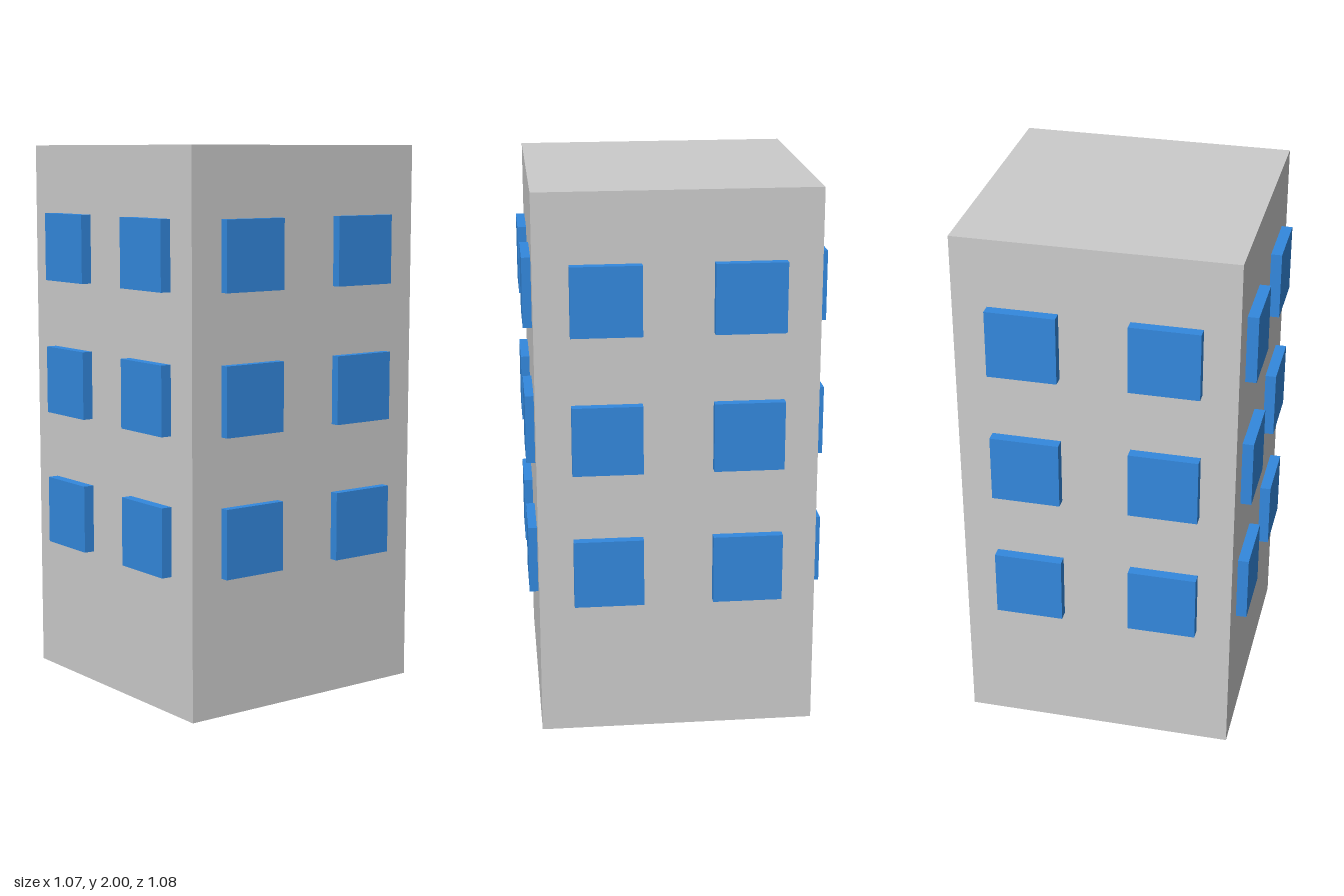
import * as THREE from 'three';

const WIDTH = 1, HEIGHT = 2, PANE = 0.25;
const COLUMNS = [-0.25, 0.25];
const ROWS = [0.625, 1.125, 1.625];

const wallMaterial = new THREE.MeshStandardMaterial({ color: 0xcccccc, side: THREE.DoubleSide, flatShading: true });
const windowMaterial = new THREE.MeshStandardMaterial({ color: 0x3388dd, side: THREE.DoubleSide, flatShading: true });

function rectangle(path, x, y, w, h) {
  path.moveTo(x - w / 2, y - h / 2);
  path.lineTo(x + w / 2, y - h / 2);
  path.lineTo(x + w / 2, y + h / 2);
  path.lineTo(x - w / 2, y + h / 2);
  path.closePath();
  return path;
}

// Thin wall with an opening behind every window
function wallGeometry() {
  const shape = rectangle(new THREE.Shape(), 0, HEIGHT / 2, WIDTH, HEIGHT);
  for (const x of COLUMNS)
    for (const y of ROWS) shape.holes.push(rectangle(new THREE.Path(), x, y, PANE, PANE));
  return new THREE.ShapeGeometry(shape);
}

// Raised window box, hollow and open towards the inside
function windowGeometry(depth) {
  const box = new THREE.BoxGeometry(PANE, PANE, depth).translate(0, 0, depth / 2);
  box.setIndex(Array.from(box.index.array).slice(0, 30)); // drop the back face
  box.clearGroups();
  return box;
}

function createSide(name, angle, depth) {
  const side = new THREE.Group();
  side.name = name;
  const wall = new THREE.Mesh(wallGeometry(), wallMaterial);
  wall.name = 'wall';
  side.add(wall);
  const geometry = windowGeometry(depth);
  for (const x of COLUMNS)
    for (const y of ROWS) {
      const pane = new THREE.Mesh(geometry, windowMaterial);
      pane.name = 'window';
      pane.position.set(x, y, 0);
      side.add(pane);
    }
  side.rotation.y = angle;
  side.position.set(Math.sin(angle) * WIDTH / 2, 0, Math.cos(angle) * WIDTH / 2);
  return side;
}

export function createModel() {
  const model = new THREE.Group();
  model.name = 'towerBlock';

  // Hollow tower, open at the bottom
  const tower = new THREE.Group();
  tower.name = 'tower';
  tower.add(
    createSide('frontSide', 0, 0.04),
    createSide('leftSide', Math.PI / 2, 0.032),
    createSide('backSide', Math.PI, 0.036),
    createSide('rightSide', -Math.PI / 2, 0.04),
  );

  // Flat roof
  const roof = new THREE.Mesh(new THREE.PlaneGeometry(WIDTH, WIDTH), wallMaterial);
  roof.name = 'roof';
  roof.rotation.x = -Math.PI / 2;
  roof.position.y = HEIGHT;
  tower.add(roof);

  // Window depths differ slightly, so shift to centre the whole
  tower.position.set(0.004, 0, -0.002);
  model.add(tower);
  return model;
}
